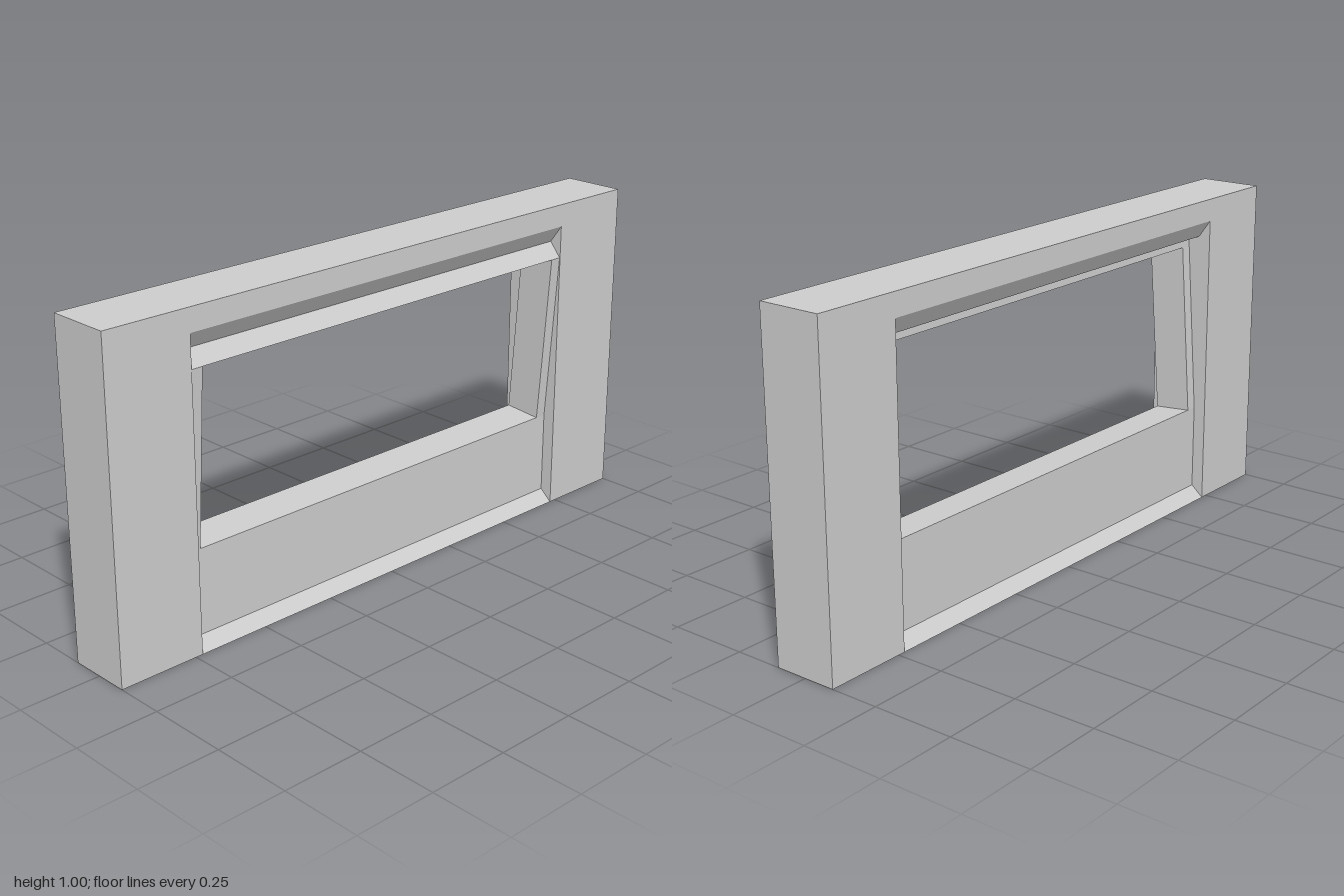
import * as THREE from 'three';

const material = new THREE.MeshStandardMaterial({ color: 0xcccccc, flatShading: true });
const OPEN = 0.727; // half width of the recess
const WIN = 0.69;   // half width of the window

function shapeFrom(points) {
  return new THREE.Shape(points.map(([x, y]) => new THREE.Vector2(x, y)));
}

// Extrude a [z, y] cross-section along x, from x0 to x1
function sweepX(name, profile, x0, x1) {
  const shape = shapeFrom(profile.map(([z, y]) => [-z, y]));
  const geometry = new THREE.ExtrudeGeometry(shape, { depth: x1 - x0, bevelEnabled: false });
  geometry.rotateY(Math.PI / 2).translate(x0, 0, 0);
  const mesh = new THREE.Mesh(geometry, material);
  mesh.name = name;
  return mesh;
}

export function createModel() {
  const group = new THREE.Group();
  group.name = 'windowWall';

  // Outer wall: two posts and the lintel
  const outline = shapeFrom([
    [-1, 0], [-OPEN, 0], [-OPEN, 0.93], [OPEN, 0.93],
    [OPEN, 0], [1, 0], [1, 1], [-1, 1],
  ]);
  const wall = new THREE.Mesh(
    new THREE.ExtrudeGeometry(outline, { depth: 0.2, bevelEnabled: false }).translate(0, 0, -0.1),
    material);
  wall.name = 'outerWall';
  group.add(wall);

  // Corners of the forward-leaning window band, as [z, y]
  const sillFront = [0.06, 0.295], sillBack = [-0.06, 0.305];
  const headFront = [0.098, 0.83], headBack = [-0.024, 0.84];

  // Lower panel with sloped skirting on both sides
  group.add(sweepX('lowerPanel', [
    [0.1, 0], [0.06, 0.035], sillFront, sillBack, [-0.06, 0.035], [-0.1, 0],
  ], -OPEN, OPEN));

  // Header above the window, with sloped soffits
  group.add(sweepX('windowHeader', [
    headFront, [0.06, 0.875], [0.1, 0.93], [-0.1, 0.93],
    [-0.06, 0.875], [-0.022, 0.871], headBack,
  ], -OPEN, OPEN));

  // Narrow leaning jambs beside the window
  const jamb = [sillFront, headFront, headBack, sillBack];
  group.add(sweepX('rightJamb', jamb, -OPEN, -WIN));
  group.add(sweepX('leftJamb', jamb, WIN, OPEN));

  return group;
}
